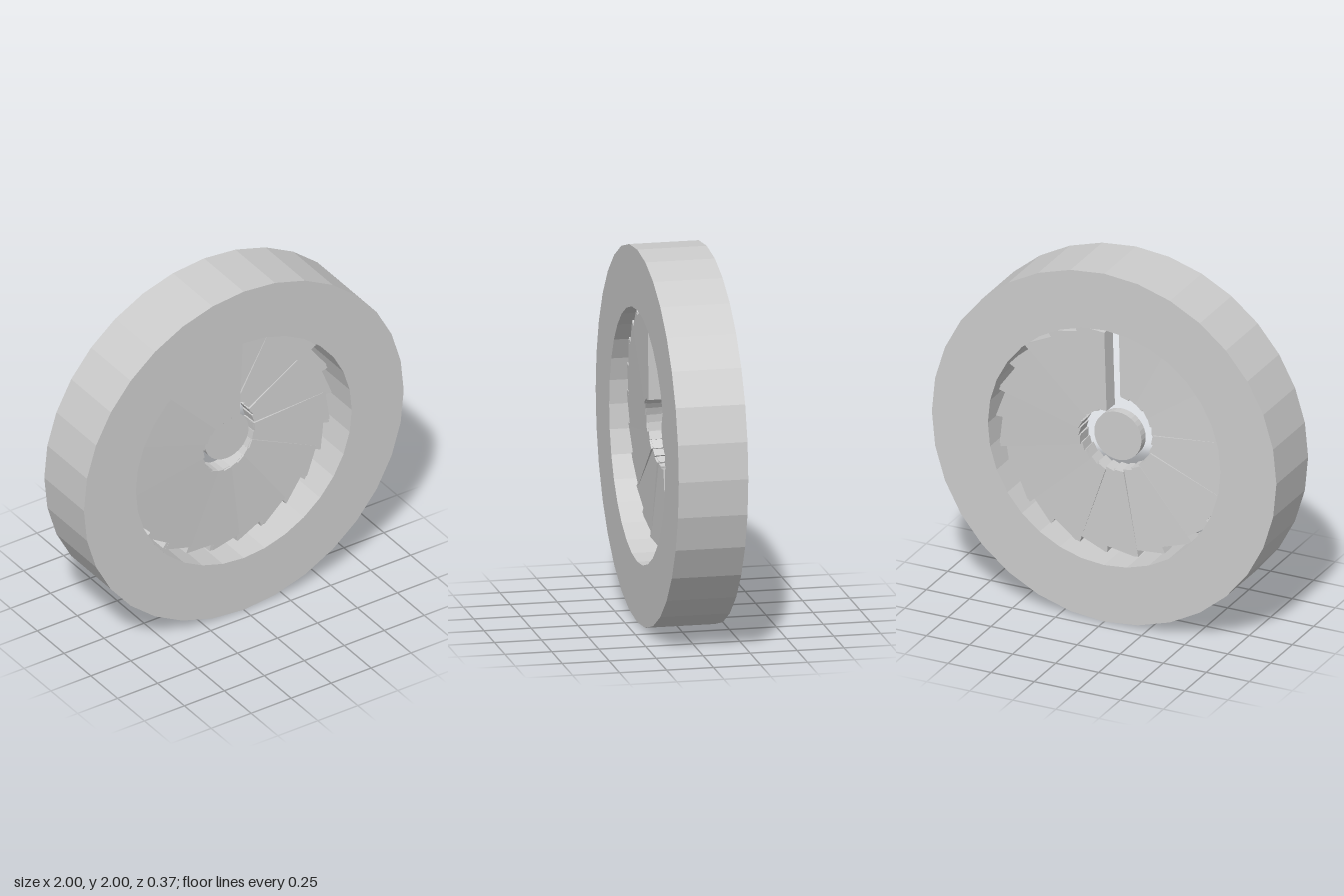
import * as THREE from 'three';

const material = new THREE.MeshStandardMaterial({ color: 0xcccccc, flatShading: true });

// Point at a radius and an angle in degrees, clockwise from the top
function polar(r, deg) {
  const a = THREE.MathUtils.degToRad(deg);
  return new THREE.Vector2(r * Math.sin(a), r * Math.cos(a));
}

const circle = (r, n) => Array.from({ length: n }, (_, i) => polar(r, (i * 360) / n));

// Flat plate of the given depth, centred on z = 0
function plate(shape, depth, name) {
  const geometry = new THREE.ExtrudeGeometry(shape, { depth, bevelEnabled: false });
  geometry.translate(0, 0, -depth / 2);
  const mesh = new THREE.Mesh(geometry, material);
  mesh.name = name;
  return mesh;
}

// Fan blade: a sector about the upward axis with three saw teeth at the tip and a stepped root
const bladeSpan = 45.4;
function bladeShape() {
  const teeth = 3, step = bladeSpan / teeth;
  const tip = [], root = [];
  for (let i = 0; i < teeth; i++) {
    const a = i * step - bladeSpan / 2;
    tip.push(polar(0.635, a), polar(0.675, a + step));
    root.push(polar(0.184, a + 2), polar(0.194, a + step + 2));
  }
  return new THREE.Shape([...tip, ...root.reverse()]);
}

export function createModel() {
  const wheel = new THREE.Group();
  wheel.name = 'turbineWheel';
  wheel.position.y = 1;

  // Outer ring; the hole winds opposite to the rim so its wall faces inwards
  const ringShape = new THREE.Shape(circle(1, 32));
  ringShape.holes.push(new THREE.Path(circle(0.675, 32).reverse()));
  wheel.add(plate(ringShape, 0.37, 'outerRing'));

  // Free-standing hub disc
  wheel.add(plate(new THREE.Shape(circle(0.137, 32)), 0.05, 'hubDisc'));

  // Overlapping blades, slightly pitched, climbing from back to front like a spiral stair
  const blades = new THREE.Group();
  blades.name = 'blades';
  const shape = bladeShape(), count = 12;
  for (let i = 0; i < count; i++) {
    const blade = plate(shape, 0.09, 'blade');
    blade.rotation.order = 'ZYX';
    blade.rotation.y = -0.044;
    blade.rotation.z = -(0.035 + i * 0.5 + THREE.MathUtils.degToRad(bladeSpan / 2));
    blade.position.z = THREE.MathUtils.lerp(-0.079, 0.079, i / (count - 1));
    blades.add(blade);
  }
  wheel.add(blades);

  const model = new THREE.Group();
  model.name = 'model';
  model.add(wheel);
  return model;
}
